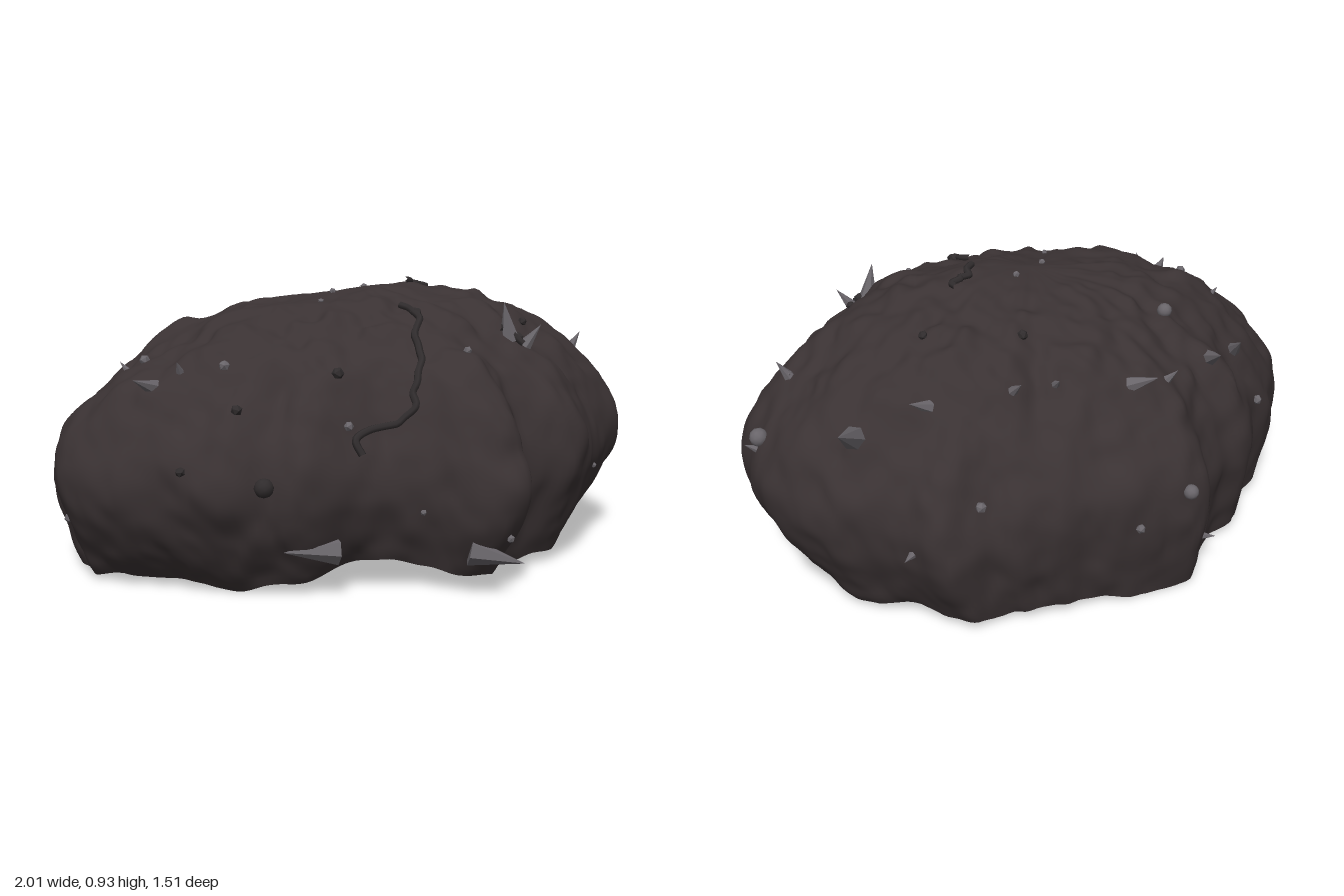
import * as THREE from 'three';
import { mergeVertices } from 'three/addons/utils/BufferGeometryUtils.js';

const rock = new THREE.MeshStandardMaterial({ color: 0x3a3233, side: THREE.DoubleSide });
rock.name = 'dark rock';
const stone = new THREE.MeshStandardMaterial({ color: 0x69656a });
stone.name = 'grey stone';
const soot = new THREE.MeshStandardMaterial({ color: 0x302c2d });
soot.name = 'black stone';

// Seeded lattice noise, -1..1
const hash = (x, y, z) => {
  let h = Math.imul(x, 374761393) ^ Math.imul(y, 668265263) ^ Math.imul(z, 2147483647 - 91);
  h = Math.imul(h ^ (h >>> 13), 1274126177);
  return ((h ^ (h >>> 16)) >>> 0) / 2147483648 - 1;
};
function noise(x, y, z) {
  const i = Math.floor(x), j = Math.floor(y), k = Math.floor(z);
  const s = (t) => t * t * (3 - 2 * t);
  const a = s(x - i), b = s(y - j), c = s(z - k);
  let sum = 0;
  for (let n = 0; n < 8; n++) {
    const p = n & 1, q = (n >> 1) & 1, r = n >> 2;
    sum += hash(i + p, j + q, k + r) * (p ? a : 1 - a) * (q ? b : 1 - b) * (r ? c : 1 - c);
  }
  return sum;
}

// Plan outline (x, z), from the left side round by the front
const OUTLINE = [
  [1.01, -.22], [.98, 0], [.91, .12], [.84, .22], [.79, .3], [.71, .42], [.65, .48], [.55, .5], [.47, .54],
  [.45, .62], [.43, .71], [.28, .76], [.15, .68], [.03, .66], [-.08, .67], [-.28, .71], [-.35, .68],
  [-.5, .69], [-.62, .64], [-.73, .55], [-.88, .47], [-.97, .36], [-1.01, .2], [-.98, -.02], [-.91, -.12],
  [-.81, -.24], [-.71, -.32], [-.64, -.47], [-.5, -.54], [-.41, -.63], [-.36, -.71], [-.2, -.74],
  [-.1, -.76], [.1, -.74], [.3, -.75], [.36, -.71], [.56, -.74], [.65, -.63], [.73, -.57], [.86, -.51], [.94, -.41]
];
// Dome profile: share of the outline, height
const PROFILE = [[0, .9], [.2, .89], [.4, .86], [.6, .79], [.78, .685], [.9, .56], [.97, .44], [1, .31], [1, .15], [1, .03]];

function shellGeometry() {
  const U = 260, V = 90, pos = [], index = [];
  const ring = new THREE.CatmullRomCurve3(OUTLINE.map(([x, z]) => new THREE.Vector3(x, 0, z)), true);
  const prof = new THREE.CatmullRomCurve3(PROFILE.map(([r, y]) => new THREE.Vector3(r, y, 0)));
  const sharp = Array.from({ length: U }, (_, u) => ring.getPointAt(u / U));
  // smoothed outline for the crown, where the folds fade out
  const soft = sharp.map((_, u) => {
    const sum = new THREE.Vector3();
    for (let k = -14; k <= 14; k++) sum.add(sharp[(u + k + U) % U]);
    return sum.multiplyScalar(1.01 / 29);
  });
  for (let v = 0; v <= V; v++) {
    const p = prof.getPointAt(v / V);
    for (let u = 0; u < U; u++) {
      const o = soft[u].clone().lerp(sharp[u], THREE.MathUtils.smoothstep(p.x, .5, .95));
      const tilt = (o.x > 0 ? .085 : .015) * o.x - (o.z > 0 ? .06 : -.035) * o.z;
      let y = p.y + tilt * p.x * (p.y / .9);
      // lower wall tucks in, more so at the left and front
      const low = Math.max(0, (.42 - p.y) / .42) ** 1.8;
      const r = Math.min(p.x, 1);
      const corner = .25 * Math.max(0, -o.x) * Math.max(0, o.z);
      let x = o.x * r * (1 - low * ((o.x > 0 ? .22 : .07) + corner));
      let z = o.z * r * (1 - low * ((o.z > 0 ? .17 : .085) + corner));
      // rim arches up at the front and a little at the left side
      if (z > 0) y += low * .09 * Math.exp(-(((x - .02) / .24) ** 2));
      y += low * (.025 * Math.max(0, o.x) + .022 * noise(x * 9, 3, z * 9));
      // small hump by the crown and a ragged band around it
      y += .025 * Math.exp(-((x - .13) ** 2 + (z - .08) ** 2) / .03);
      y += .014 * noise(x * 18, 5, z * 18) * Math.exp(-(((p.x - .5) / .25) ** 2));
      // lumps, with ridges running down from the crown
      const n = .016 * noise(x * 5 + 9, y * 4, z * 5) + .02 * Math.min(1, r * 1.5) * noise(o.x * 8, y * 2 + 4, o.z * 8)
        + .011 * noise(x * 13, y * 9 + 4, z * 13) + .006 * noise(x * 26, y * 14, z * 26 + 7);
      const len = Math.hypot(o.x, o.z), flat = Math.min(1, r * 1.1);
      x += n * flat * o.x / len;
      z += n * flat * o.z / len;
      y += n * Math.min(1, r * 3) * THREE.MathUtils.clamp((p.y - .3) / .4, 0, 1);
      pos.push(x, y, z);
      if (v < V) {
        const a = v * U + u, b = v * U + (u + 1) % U;
        index.push(a, b, a + U, b, b + U, a + U);
      }
    }
  }
  let g = new THREE.BufferGeometry();
  g.setAttribute('position', new THREE.Float32BufferAttribute(pos, 3));
  g.setIndex(index);
  g = mergeVertices(g, 1e-5);
  g.computeBoundingBox();
  const c = g.boundingBox.getCenter(new THREE.Vector3());
  g.translate(-c.x, -g.boundingBox.min.y, -c.z);
  g.computeVertexNormals();
  return g;
}

// Spikes: x, y, z, length, then an optional direction
const SPIKES = [
  [-.18, .15, .65, .17, -1, .05, .15], [.28, .13, .69, .17, .9, -.2, .2], [.55, .73, .27, .11, .6, .8, .1],
  [.49, .77, .28, .13, -.2, 1, .1], [-.7, .66, .46, .1, -.6, .3, .6], [-.6, .69, .44, .05], [-.78, .66, .1, .05],
  [.84, .7, -.1, .08, .5, .8, 0], [.72, .63, -.49, .18, .45, .5, -.75], [.5, .74, -.53, .08, .8, .4, -.3],
  [.22, .76, -.57, .07], [-.14, .72, -.57, .1, -.6, .4, -.6], [-.33, .72, -.54, .06], [-.48, .68, -.43, .12, .1, .5, -.9],
  [-.7, .64, -.27, .11, .1, .6, -.7], [-.4, .13, -.62, .07], [.98, .5, -.2, .05],
  [.62, .3, -.66, .05], [.1, .78, -.58, .05]
];
// Pebbles: x, y, z, radius
const GREY = [
  [.95, .53, -.21, .03], [-.39, .78, -.26, .025], [-.27, .38, -.71, .025], [-.69, .68, .25, .018], [-.47, .7, .46, .018],
  [-.1, .53, .64, .016], [.28, .69, .5, .014], [.36, .18, .7, .014], [.1, .25, .67, .01], [-.06, .9, .03, .012],
  [.06, .9, -.06, .012], [-.13, .88, .18, .01], [.84, .69, -.1, .016], [-.95, .2, .25, .016],
  [.8, .3, .2, .01], [.4, .45, -.7, .018], [-.75, .4, -.3, .018], [-.1, .3, -.72, .016]
];
const BLACK = [
  [-.37, .35, .69, .03], [-.62, .4, .63, .016], [-.45, .57, .6, .018], [-.13, .665, .55, .02], [.13, .85, -.38, .018],
  [.43, .82, -.28, .016], [.56, .77, .12, .016], [.52, .74, .28, .02], [.15, .81, .3, .02]
];
// Raised cracks, as points along the surface
const CRACKS = [
  [[.12, .84, .24], [.16, .81, .31], [.14, .76, .4], [.13, .68, .48], [.1, .62, .56], [.06, .55, .62], [-.02, .52, .63], [-.07, .5, .64], [-.08, .45, .66]],
  [[.27, .86, -.08], [.25, .86, -.04], [.21, .87, -.03], [.2, .87, .01]],
  [[.46, .78, .28], [.5, .76, .28], [.53, .74, .3]]
];

export function createModel() {
  const model = new THREE.Group();
  model.name = 'rockShell';
  const geo = shellGeometry();
  const add = (g, m, name) => {
    const mesh = new THREE.Mesh(g, m);
    mesh.name = name;
    model.add(mesh);
    return mesh;
  };
  add(geo, rock, 'shell');

  // Nearest place on the shell
  const P = geo.attributes.position, N = geo.attributes.normal;
  const snap = (x, y, z) => {
    let best = 0, min = Infinity;
    for (let i = 0; i < P.count; i++) {
      const d = (P.getX(i) - x) ** 2 + (P.getY(i) - y) ** 2 + (P.getZ(i) - z) ** 2;
      if (d < min) { min = d; best = i; }
    }
    return { at: new THREE.Vector3().fromBufferAttribute(P, best), out: new THREE.Vector3().fromBufferAttribute(N, best) };
  };

  for (const [x, y, z, len, ...dir] of SPIKES) {
    const { at, out } = snap(x, y, z);
    const d = dir.length ? new THREE.Vector3(...dir).normalize() : out;
    const g = new THREE.ConeGeometry(len * .23 + .004, len, 6).toNonIndexed();
    g.computeVertexNormals();
    const spike = add(g, stone, 'spike');
    spike.quaternion.setFromUnitVectors(new THREE.Vector3(0, 1, 0), d);
    spike.position.copy(at).addScaledVector(d, len * .3);
  }
  for (const [list, mat, name] of [[GREY, stone, 'greyPebble'], [BLACK, soot, 'blackPebble']]) {
    list.forEach(([x, y, z, r], i) => {
      const { at, out } = snap(x, y, z);
      const pebble = add(new THREE.IcosahedronGeometry(r, r > .024 ? 1 : 0), mat, name);
      pebble.position.copy(at).addScaledVector(out, r * .25);
      pebble.rotation.set(i, i * 2, 0);
    });
  }
  for (const path of CRACKS) {
    const guide = new THREE.CatmullRomCurve3(path.map((p) => new THREE.Vector3(...p)));
    const pts = guide.getSpacedPoints(path.length * 2).map((p, i) => {
      const { at, out } = snap(p.x + .008 * Math.sin(i * 2.2), p.y, p.z);
      return at.addScaledVector(out, .007);
    });
    add(new THREE.TubeGeometry(new THREE.CatmullRomCurve3(pts), 70, .012, 6), soot, 'crack');
  }
  return model;
}
